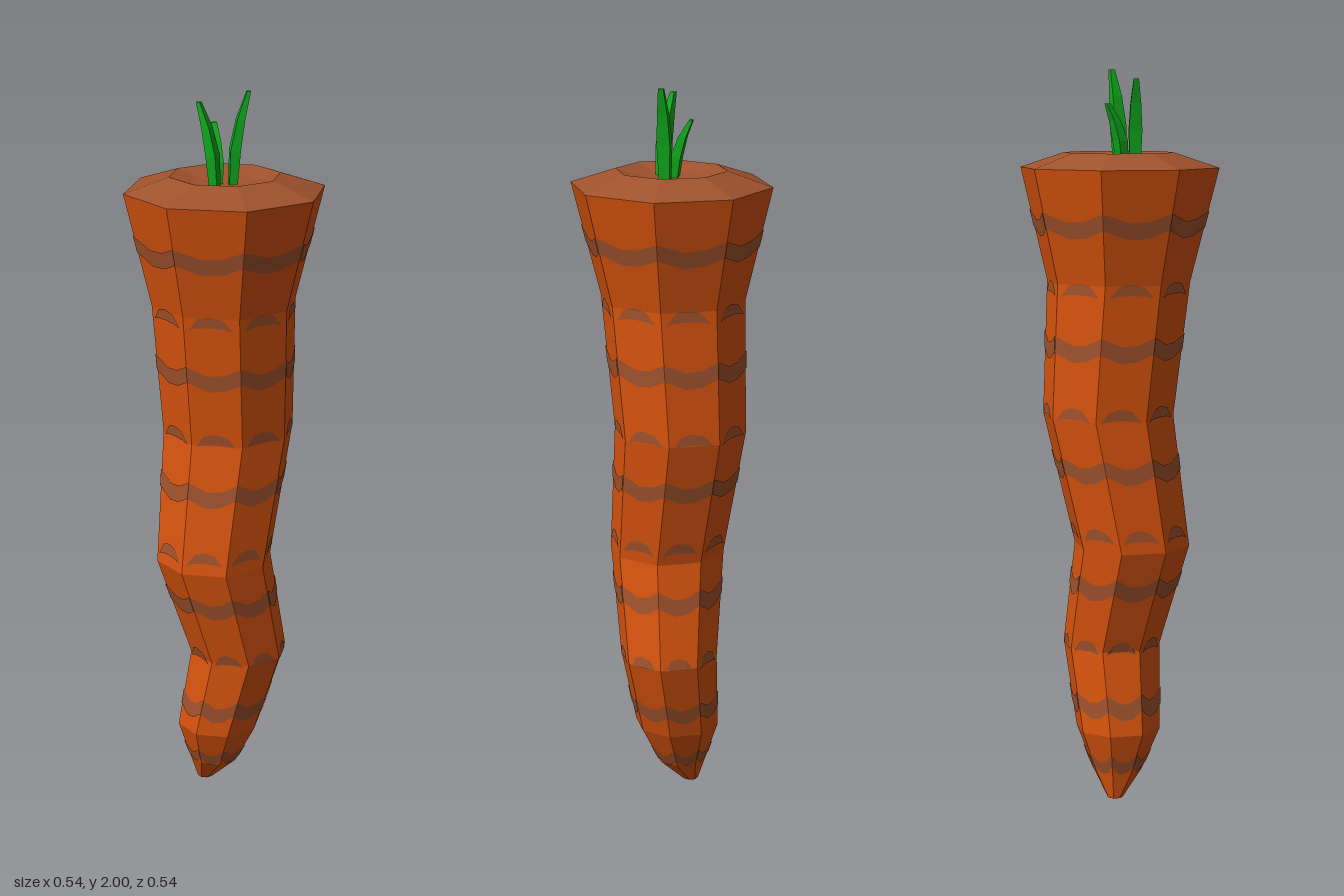
import * as THREE from 'three';

const SIDES = 8;

// Root cross-sections from tip to shoulder: y, centre x, centre z, radius
const ROOT = [
  [0, -0.068, 0, 0], [0, -0.068, 0, 0.022], [0.075, -0.035, 0, 0.07],
  [0.19, -0.02, 0, 0.118], [0.42, 0.028, -0.027, 0.136], [0.71, -0.012, 0.037, 0.16],
  [1.07, -0.008, -0.03, 0.181], [1.435, -0.004, -0.002, 0.197], [1.74, 0, 0, 0.272],
];

// Shoulder and sunken crown, from the rim inwards
const CROWN = [
  [1.74, 0, 0, 0.272], [1.78, 0, 0, 0.15], [1.762, 0, 0, 0.085], [1.755, 0, 0, 0],
];

const ringPoint = ([y, cx, cz, r], i) => {
  const a = (i / SIDES) * Math.PI * 2;
  return new THREE.Vector3(cx + r * Math.cos(a), y, cz + r * Math.sin(a));
};

const ring = (section) => Array.from({ length: SIDES }, (_, i) => ringPoint(section, i));

// Flat-faced skin over rows of points, bottom to top; closed rows wrap around
function skin(rows, closed) {
  const pos = [];
  const tri = (a, b, c) => {
    const area = b.clone().sub(a).cross(c.clone().sub(a)).length();
    if (area > 1e-9) for (const p of [a, b, c]) pos.push(p.x, p.y, p.z);
  };
  for (let k = 0; k + 1 < rows.length; k++) {
    const lo = rows[k], hi = rows[k + 1], n = lo.length;
    for (let i = 0; i < (closed ? n : n - 1); i++) {
      const j = (i + 1) % n;
      tri(lo[i], hi[i], lo[j]);
      tri(hi[i], hi[j], lo[j]);
    }
  }
  const g = new THREE.BufferGeometry();
  g.setAttribute('position', new THREE.Float32BufferAttribute(pos, 3));
  g.computeVertexNormals();
  return g;
}

// Point just above one facet of the root, u running across the facet
function onFacet(facet, u, y) {
  let k = 1;
  while (k < ROOT.length - 2 && y > ROOT[k + 1][0]) k++;
  const t = (y - ROOT[k][0]) / (ROOT[k + 1][0] - ROOT[k][0]);
  const edge = (i) => ringPoint(ROOT[k], i).lerp(ringPoint(ROOT[k + 1], i), t);
  const a = ((facet + 0.5) / SIDES) * Math.PI * 2;
  return edge(facet).lerp(edge(facet + 1), u)
    .add(new THREE.Vector3(Math.cos(a), 0, Math.sin(a)).multiplyScalar(0.0025));
}

// Thin marking on one facet, folded where it crosses a bend of the root
function marking(facet, outline) {
  const bends = ROOT.slice(2, -1).map((s) => s[0]);
  const low = Math.min(...outline.map((o) => o[1]));
  const high = Math.max(...outline.map((o) => o[2]));
  const bend = bends.find((y) => y > low && y < high);
  const row = (f) => outline.map((o) => onFacet(facet, o[0], f(o)));
  const rows = [row((o) => o[1]), row((o) => o[2])];
  if (bend) rows.splice(1, 0, row((o) => Math.min(Math.max(bend, o[1]), o[2])));
  return skin(rows, false);
}

// Outline of a full band: sags in the middle of the facet
const band = (y, h) => [[0, 0.014], [0.3, -0.006], [0.6, -0.01], [0.8, 0.002], [1, 0.014]]
  .map(([u, d]) => [u, y + d - h / 2, y + d + h / 2]);

// Outline of a short arched fleck with pointed ends
const fleck = (y, h) => [[0.12, 0], [0.3, 0.8], [0.55, 1], [0.75, 0.8], [0.9, 0]]
  .map(([u, w]) => [u, y - h * 0.5 + w * h * 0.2, y - h * 0.5 + w * h + 0.002]);

// Four-sided leaf bending from its foot to its tip
function leafGeometry(foot, tip, height) {
  const dir = new THREE.Vector2(tip[0] - foot[0], tip[1] - foot[1]).normalize();
  const section = (t, half, bendT) => {
    const x = foot[0] + (tip[0] - foot[0]) * bendT;
    const z = foot[1] + (tip[1] - foot[1]) * bendT;
    const y = 1.745 + (height - 1.745) * t;
    return [[1, -1], [1, 1], [-1, 1], [-1, -1]].map(([a, b]) => new THREE.Vector3(
      x + half * (a * dir.x * 0.75 - b * dir.y), y, z + half * (a * dir.y * 0.75 + b * dir.x)));
  };
  return skin([
    section(0, 0, 0), section(0, 0.014, 0), section(0.4, 0.018, 0.15),
    section(0.72, 0.014, 0.5), section(1, 0.007, 1), section(1, 0, 1),
  ], true);
}

export function createModel() {
  const material = (name, color, side = THREE.FrontSide) => {
    const m = new THREE.MeshStandardMaterial({ color, side, flatShading: true });
    m.name = name;
    return m;
  };
  const orange = material('carrot orange', 0xd9540e);
  const brown = material('earthy brown', 0xa0522d, THREE.DoubleSide);
  const green = material('leaf green', 0x0fa81c);

  const model = new THREE.Group();
  model.name = 'carrot';
  const add = (parent, name, geometry, mat) => {
    const mesh = new THREE.Mesh(geometry, mat);
    mesh.name = name;
    parent.add(mesh);
  };

  add(model, 'root', skin(ROOT.map(ring), true), orange);
  add(model, 'crown', skin(CROWN.map(ring), true), brown);

  // Full bands alternate with rows of flecks up the root
  const markings = new THREE.Group();
  markings.name = 'markings';
  model.add(markings);
  for (let f = 0; f < SIDES; f++) {
    for (const y of [0.1, 0.265, 0.6, 0.93, 1.26, 1.59])
      add(markings, 'band', marking(f, band(y, y < 0.2 ? 0.035 : 0.045)), brown);
    for (const y of [0.43, 0.755, 1.085, 1.42])
      add(markings, 'fleck', marking(f, fleck(y, 0.036)), brown);
  }

  // Three young leaves
  const leaves = new THREE.Group();
  leaves.name = 'leaves';
  model.add(leaves);
  add(leaves, 'leftLeaf', leafGeometry([0.022, -0.003], [0.054, -0.03], 2.0), green);
  add(leaves, 'backLeaf', leafGeometry([-0.018, 0.012], [-0.049, -0.023], 1.91), green);
  add(leaves, 'frontLeaf', leafGeometry([-0.002, 0.044], [-0.046, 0.054], 1.975), green);

  return model;
}
